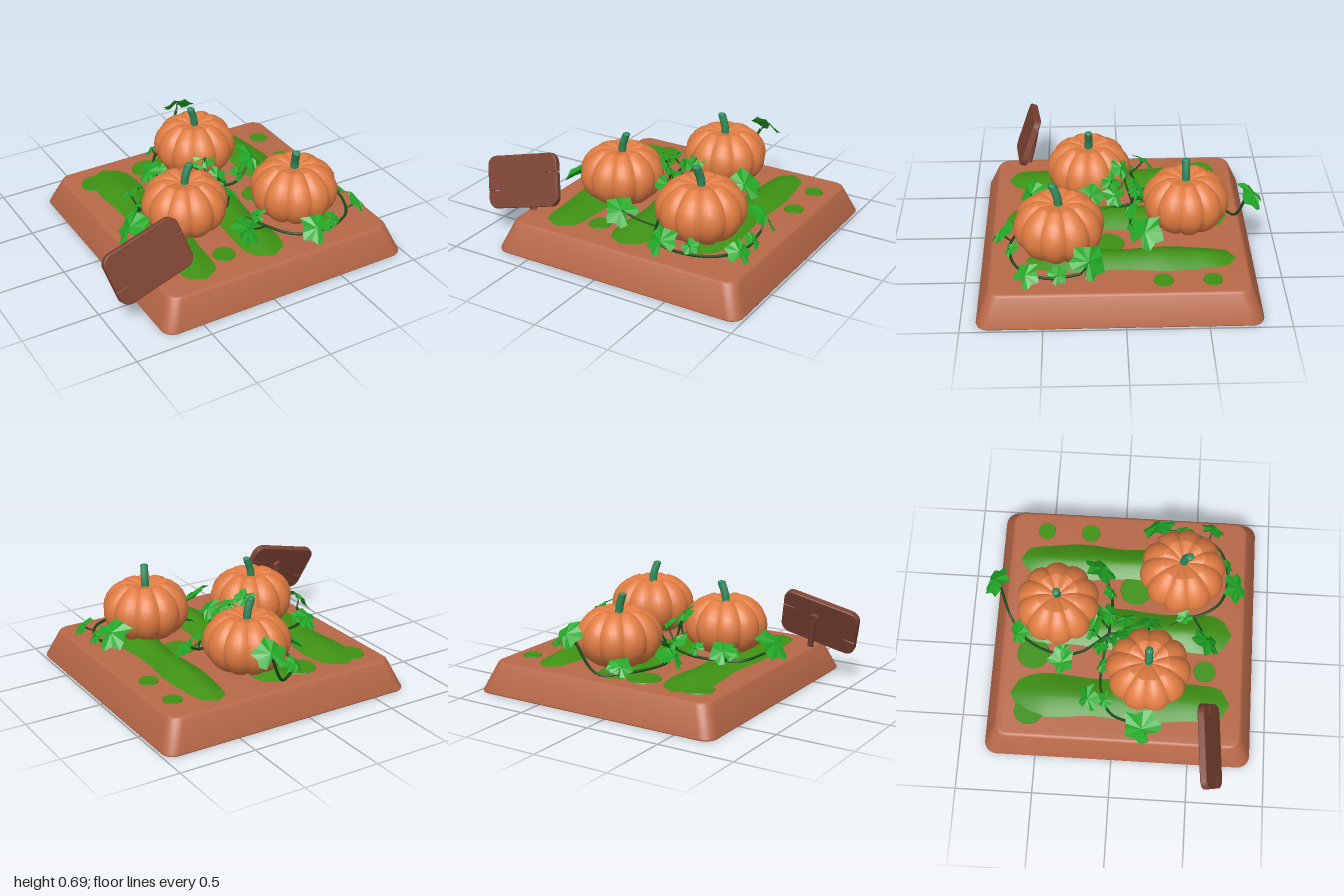
import * as THREE from 'three';
import { toCreasedNormals } from 'three/addons/utils/BufferGeometryUtils.js';

const mat = (color, extra = {}) => new THREE.MeshStandardMaterial({ color, ...extra });
const soil = mat(0xb86848);
const grass = mat(0x3f9114, { side: THREE.DoubleSide });
const rind = mat(0xe07c42);
const stemGreen = mat(0x2e8b5c);
const leafGreen = mat(0x22a826, { side: THREE.DoubleSide, flatShading: true });
const vineGreen = mat(0x174a1a);
const wood = mat(0x7c4232);
const V = (x, y, z) => new THREE.Vector3(x, y, z);

function addMesh(parent, name, geometry, material) {
  const mesh = new THREE.Mesh(geometry, material);
  mesh.name = name;
  parent.add(mesh);
  return mesh;
}

// Moves every vertex by a rule
function reshape(geometry, rule) {
  const p = geometry.attributes.position;
  const v = V(0, 0, 0);
  for (let i = 0; i < p.count; i++) {
    v.fromBufferAttribute(p, i);
    rule(v, i);
    p.setXYZ(i, v.x, v.y, v.z);
  }
  geometry.computeVertexNormals();
  return geometry;
}

// Rounded rectangle; an optional split is cut into each side edge
function roundedRect(w, h, r, split = 0) {
  const s = new THREE.Shape();
  const q = Math.PI / 2;
  s.absarc(w - r, h - r, r, 0, q);
  s.absarc(r - w, h - r, r, q, 2 * q);
  if (split) s.lineTo(-w, -0.05).lineTo(split - w, -0.056).lineTo(-w, -0.062);
  s.absarc(r - w, r - h, r, 2 * q, 3 * q);
  s.absarc(w - r, r - h, r, 3 * q, 4 * q);
  if (split) s.lineTo(w, 0.044).lineTo(w - split, 0.05).lineTo(w, 0.056);
  return s;
}

// Tapered, round-cornered slab
function baseGeometry() {
  const g = new THREE.ExtrudeGeometry(roundedRect(0.86, 0.86, 0.07), {
    depth: 0.17, bevelSize: 0.015, bevelThickness: 0.015, bevelSegments: 3, curveSegments: 6,
  });
  g.translate(0, 0, 0.015).rotateX(-Math.PI / 2);
  reshape(g, (v) => {
    const k = 1 - 0.475 * v.y;
    v.x *= k;
    v.z *= k;
  });
  return toCreasedNormals(g, 0.6);
}

// Long low ridge with wavy edges and rounded ends
function ridgeGeometry(halfWidth, halfLength, height, phase) {
  const g = new THREE.PlaneGeometry(2, 2, 8, 28).rotateX(-Math.PI / 2);
  return reshape(g, (v) => {
    const end = Math.sqrt(Math.max(0, 1 - Math.abs(v.z) ** 8));
    const crest = Math.max(0, 1 - Math.abs(v.x) ** 1.4) * Math.min(1, (1 - Math.abs(v.z)) * 3);
    v.y = 0.004 + height * crest * (0.9 + 0.1 * Math.sin(v.z * 9 + phase));
    v.x *= halfWidth * end * (1 + 0.09 * Math.sin(v.z * 7 + phase));
    v.z *= halfLength;
  });
}

// Ten-ribbed pumpkin body: a squashed ball, dimpled at the poles
function pumpkinGeometry() {
  const profile = Array.from({ length: 15 }, (_, i) => {
    const a = Math.PI * (i / 14 - 0.5);
    const r = 0.28 * Math.cos(a) ** 0.85;
    const dimple = 0.05 * Math.max(0, 1 - r / 0.13);
    return new THREE.Vector2(i % 14 ? r : 0, Math.sin(a) * (0.2 - dimple));
  });
  const g = new THREE.LatheGeometry(profile, 60);
  reshape(g, (v) => {
    const groove = (1 - Math.abs(Math.sin(5 * Math.atan2(v.x, v.z)))) ** 1.5;
    const k = 1 - 0.085 * groove;
    v.x *= k;
    v.z *= k;
    v.y *= 1 - 0.06 * groove;
  });
  return toCreasedNormals(g, 0.45);
}

// Lobed leaf with drooping tips, facing +z, stalk end towards -y
function leafGeometry() {
  const half = [0.3, 0.85, 0.95, 0.72, 1, 0.82, 0.78, 1.1];
  const g = new THREE.CircleGeometry(1, 14, -Math.PI / 2);
  return reshape(g, (v, i) => {
    if (i === 0) return;
    v.multiplyScalar(half[i > 8 ? 15 - i : i - 1]);
    v.z = -0.4 * v.x * v.x - 0.2 * v.y * v.y + (i % 2 ? 0.08 : -0.05);
  });
}

function rod(parent, name, points, radius, material, sides = 6) {
  const curve = new THREE.CatmullRomCurve3(points);
  addMesh(parent, name, new THREE.TubeGeometry(curve, points.length * 6, radius, sides), material);
  return curve;
}

export function createModel() {
  const model = new THREE.Group();
  model.name = 'pumpkinPatch';

  addMesh(model, 'soilBase', baseGeometry(), soil).position.set(0.118, 0, 0.035);

  // Grass ridges: x, z, half width, half length, height
  [[-0.39, 0.035, 0.14, 0.715, 0.04], [0.09, 0.035, 0.135, 0.715, 0.062], [0.56, -0.04, 0.12, 0.65, 0.06]]
    .forEach(([x, z, w, l, h], i) =>
      addMesh(model, 'grassRidge', ridgeGeometry(w, l, h, i * 2), grass).position.set(x, 0.2, z));

  // Flat grass patches: x, z, radius
  [[0.78, -0.53, 0.062], [0.78, -0.23, 0.065], [-0.17, 0.58, 0.075], [-0.11, -0.55, 0.11],
    [-0.5, -0.55, 0.1], [0.38, 0.1, 0.11]].forEach(([x, z, r]) => {
    const patch = addMesh(model, 'grassPatch', new THREE.CylinderGeometry(r * 0.94, r, 0.012, 14), grass);
    patch.position.set(x, 0.201, z);
  });

  // Pumpkins with curved stems: x, z, scale, stem lean in x and z
  const body = pumpkinGeometry();
  const pumpkins = [[0.18, -0.4, 0.98, -0.03, 0], [-0.24, 0.21, 0.98, 0.035, 0], [0.455, 0.4, 1.01, -0.015, 0.035]]
    .map(([x, z, s, lx, lz], i) => {
      const pumpkin = new THREE.Group();
      pumpkin.name = 'pumpkin';
      pumpkin.position.set(x, 0.395, z);
      pumpkin.scale.setScalar(s);
      addMesh(pumpkin, 'pumpkinBody', body, rind).rotation.y = 0.1 + i * 0.2;
      const tip = V(lx, 0.275, lz);
      rod(pumpkin, 'pumpkinStem', [V(0, 0.14, 0), V(lx * 0.2, 0.2, lz * 0.2), tip], 0.026, stemGreen, 8);
      const cap = addMesh(pumpkin, 'stemTip', new THREE.SphereGeometry(0.027, 8, 6), stemGreen);
      cap.position.copy(tip);
      cap.scale.y = 0.5;
      model.add(pumpkin);
      return pumpkin.position;
    });

  // Vines creep from one root: height of the tip, then x, z along the ground
  const root = V(0.03, 0.27, -0.06);
  const vines = [
    [0.45, [-0.1, -0.25], [-0.11, -0.42], [-0.02, -0.61], [0.13, -0.72], [0.25, -0.78]],
    [0.26, [-0.15, -0.09], [-0.34, -0.09], [-0.5, -0.02], [-0.57, 0.14]],
    [0.27, [0.06, 0.14], [0.16, 0.42], [0.3, 0.66], [0.5, 0.71], [0.7, 0.64], [0.8, 0.46], [0.8, 0.27]],
    [0.31, [0.18, -0.05], [0.32, -0.06], [0.44, -0.12]],
  ].map(([tipY, ...path]) => {
    const points = path.map(([x, z], i) => V(x, i === path.length - 1 ? tipY : 0.24, z));
    return rod(model, 'vine', [root, ...points], 0.009, vineGreen);
  });
  const vinePoints = vines.flatMap((c) => c.getPoints(40));

  // Leaves face up and away from the nearest pumpkin, on a stalk from the nearest vine
  const leafShape = leafGeometry();
  const nearest = (list, p) => list.reduce((a, b) => (b.distanceTo(p) < a.distanceTo(p) ? b : a));
  const addLeaf = (at, size, roll) => {
    const facing = at.clone().sub(nearest(pumpkins, at)).setY(0).setLength(0.65).setY(0.7);
    const leaf = addMesh(model, 'leaf', leafShape, leafGreen);
    leaf.position.copy(at);
    leaf.lookAt(facing.add(at));
    leaf.rotateZ(roll);
    leaf.scale.setScalar(size);
    const foot = nearest(vinePoints, at);
    rod(model, 'leafStalk', [foot, foot.clone().lerp(at, 0.5).add(V(0, -0.01, 0)), at], 0.006, vineGreen, 5);
  };

  // Large leaves: x, y, z, size
  [[0.28, 0.49, -0.82, 0.115], [-0.2, 0.31, -0.36, 0.095], [-0.01, 0.29, -0.66, 0.08], [-0.44, 0.33, -0.17, 0.095],
    [-0.62, 0.33, 0.19, 0.135], [0.47, 0.34, -0.13, 0.125], [0.8, 0.36, 0.22, 0.125], [0.83, 0.29, 0.6, 0.09],
    [0.39, 0.32, 0.77, 0.11], [0, 0.34, 0.59, 0.115], [0.1, 0.38, 0.2, 0.095], [0.82, 0.28, 0.41, 0.065]]
    .forEach(([x, y, z, size], i) => addLeaf(V(x, y, z), size, Math.sin(i * 5)));

  // Bushy cluster above the root
  for (let i = 0; i < 7; i++) {
    const a = i * 0.9;
    addLeaf(V(0.04 + 0.11 * Math.cos(a), 0.33 + 0.055 * (i % 4), -0.05 + 0.12 * Math.sin(a)), 0.08, a);
  }

  // Small leaves along the vines
  vines.forEach((vine, k) => [0.32, 0.65].forEach((t, i) =>
    addLeaf(vine.getPointAt(t).add(V(0, 0.06, 0)), 0.06, k + i * 2)));

  // Tilted sign board on a short post
  const boardShape = new THREE.ExtrudeGeometry(roundedRect(0.26, 0.165, 0.06, 0.12), {
    depth: 0.035, bevelSize: 0.005, bevelThickness: 0.005, bevelSegments: 1, curveSegments: 5,
  }).translate(0, 0, -0.018);
  const board = addMesh(model, 'signBoard', toCreasedNormals(boardShape, 0.6), wood);
  board.position.set(-0.72, 0.38, 0.625);
  board.rotation.set(-0.36, 0, 0.26);
  rod(model, 'signPost', [V(-0.65, 0.19, 0.63), V(-0.675, 0.3, 0.6), V(-0.7, 0.41, 0.575)], 0.022, wood, 8);
  const peg = addMesh(model, 'signPeg', new THREE.CylinderGeometry(0.032, 0.032, 0.04, 8).rotateX(Math.PI / 2), wood);
  peg.position.set(-0.7, 0.41, 0.58);
  peg.rotation.x = -0.36;

  return model;
}
